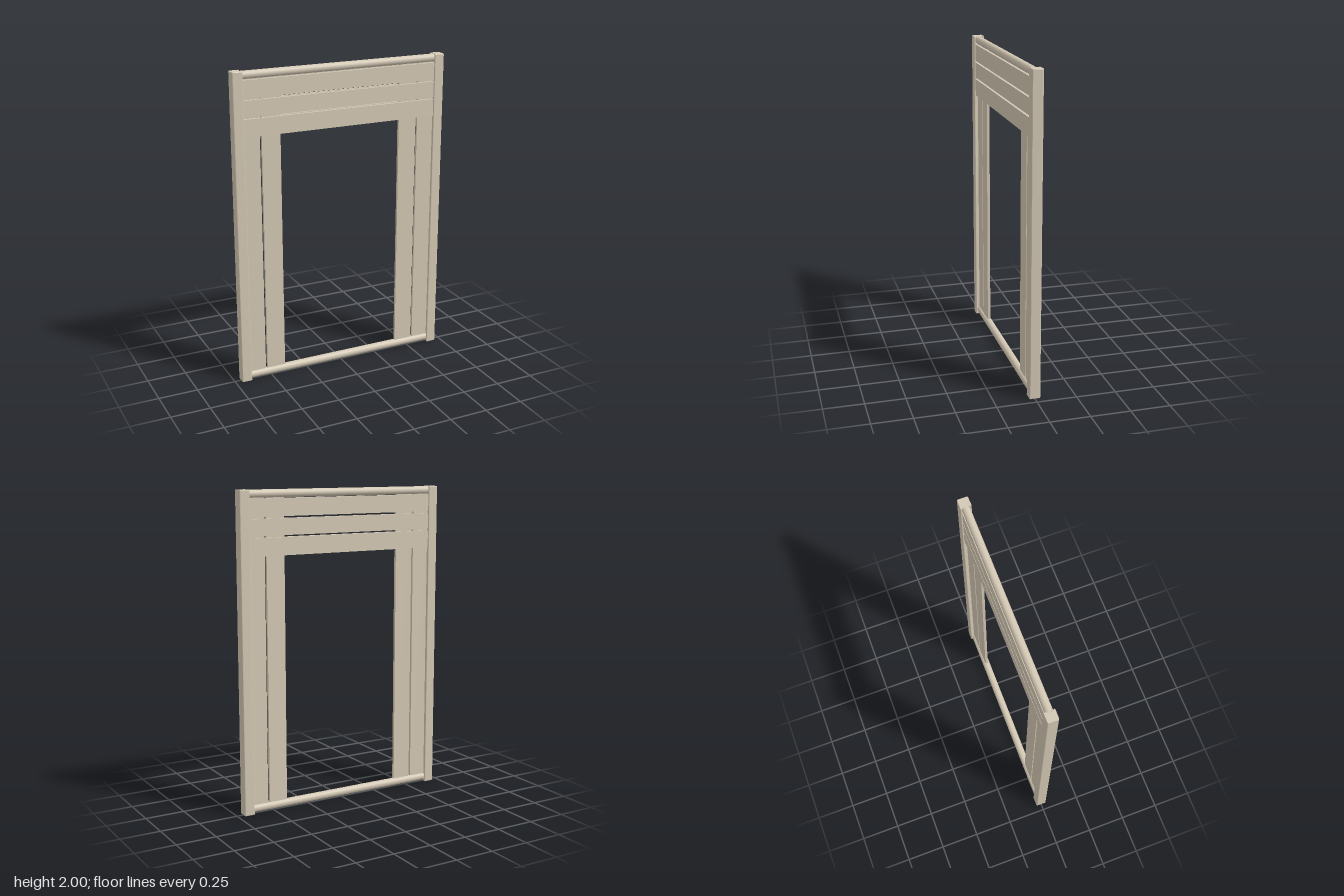
import * as THREE from 'three';

export function createModel() {
  const group = new THREE.Group();
  const wood = new THREE.MeshStandardMaterial({ color: 0xd2c7b3 });
  const add = (name, geometry, x, y, z) => {
    const mesh = new THREE.Mesh(geometry, wood);
    mesh.name = name;
    mesh.position.set(x, y, z);
    group.add(mesh);
    return mesh;
  };
  // box given by its lower and upper corners
  const board = (name, x0, x1, y0, y1, z0, z1) =>
    add(name, new THREE.BoxGeometry(x1 - x0, y1 - y0, z1 - z0),
      (x0 + x1) / 2, (y0 + y1) / 2, (z0 + z1) / 2);

  // post section: rounded corners, shallow groove along the inner (-x) side
  const section = new THREE.Shape();
  section.moveTo(-0.026, -0.035);
  section.lineTo(0.025, -0.034);
  section.quadraticCurveTo(0.033, -0.034, 0.033, -0.026);
  section.lineTo(0.033, 0.026);
  section.quadraticCurveTo(0.033, 0.034, 0.025, 0.034);
  section.lineTo(-0.026, 0.035);
  section.quadraticCurveTo(-0.033, 0.035, -0.033, 0.028);
  section.quadraticCurveTo(-0.018, 0, -0.033, -0.028);
  section.quadraticCurveTo(-0.033, -0.035, -0.026, -0.035);
  const postGeometry = new THREE.ExtrudeGeometry(section, {
    depth: 1.992, bevelEnabled: true, bevelThickness: 0.004, bevelSize: 0.003,
    bevelOffset: -0.003, bevelSegments: 1, curveSegments: 5,
  });
  postGeometry.translate(0, 0, -0.996);
  postGeometry.rotateX(-Math.PI / 2);

  // side posts
  add('leftPost', postGeometry, 0.676, 1, 0);
  add('rightPost', postGeometry, -0.676, 1, 0).rotation.y = Math.PI;

  // round rails at top and bottom
  const railGeometry = new THREE.CylinderGeometry(0.025, 0.025, 1.304, 20);
  railGeometry.rotateZ(Math.PI / 2);
  add('topRail', railGeometry, 0, 1.974, 0);
  add('bottomRail', railGeometry, 0, 0.031, 0);

  // upright boards, a pair beside each post
  for (const [side, s] of [['left', 1], ['right', -1]]) {
    for (const [name, a, b] of [['InnerUpright', 0.405, 0.526], ['OuterUpright', 0.538, 0.65]]) {
      board(side + name, Math.min(a * s, b * s), Math.max(a * s, b * s), 0.045, 1.955, -0.009, 0.009);
    }
  }

  // header boards on both faces of the uprights
  for (const [i, [y0, y1]] of [[1.602, 1.712], [1.724, 1.825], [1.838, 1.946]].entries()) {
    board('frontHeaderBoard' + (i + 1), -0.65, 0.65, y0, y1, 0.009, 0.025);
    board('backHeaderBoard' + (i + 1), -0.65, 0.65, y0, y1, -0.025, -0.009);
  }
  return group;
}
